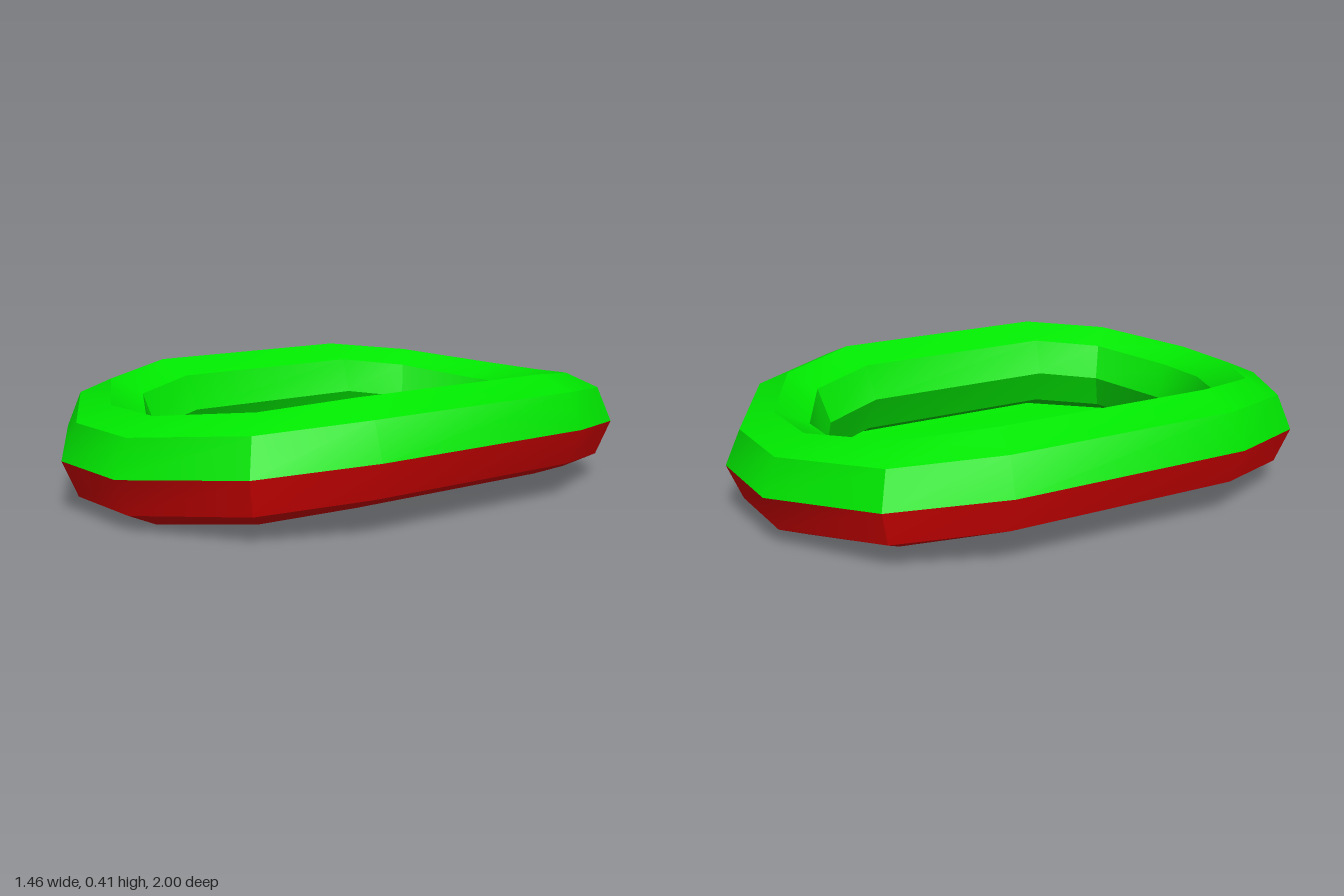
import * as THREE from 'three';
import { toCreasedNormals } from 'three/addons/utils/BufferGeometryUtils.js';

// One quarter of the tube's centre line: x, z, outward reach in x and z, lift of the upturned sides
const QUARTER = [
  [0.13, 0.84, 0.043, 0.16, 0],
  [0.44, 0.67, 0.12, 0.11, 0.035],
  [0.563, 0.39, 0.168, 0.04, 0.067],
];

// Full twelve-sided ring, counter-clockwise from above
const mirror = (pts, sx, sz) => pts.map(([x, z, dx, dz, y]) => [x * sx, z * sz, dx * sx, dz * sz, y]);
const reversed = [...QUARTER].reverse();
const RING = [
  ...QUARTER,
  ...mirror(reversed, 1, -1),
  ...mirror(QUARTER, -1, -1),
  ...mirror(reversed, -1, 1),
];

// Octagonal tube section: outward factor, height
const UPPER = [[1, 0.17], [0.69, 0.29], [0, 0.34], [-0.69, 0.29], [-0.97, 0.17], [-0.69, 0.05], [0, 0]];
const LOWER = [[0, 0], [0.69, 0.05], [1, 0.17]];

function geometryFrom(positions, index) {
  const geo = new THREE.BufferGeometry();
  geo.setAttribute('position', new THREE.Float32BufferAttribute(positions, 3));
  geo.setIndex(index);
  return toCreasedNormals(geo, Math.PI / 6);
}

// Sweep a section around the ring
function tubeShell(profile) {
  const positions = [], index = [], n = RING.length;
  for (const [out, h] of profile) {
    for (const [x, z, dx, dz, y] of RING) positions.push(x + dx * out, h + y, z + dz * out);
  }
  for (let j = 0; j < profile.length - 1; j++) {
    for (let i = 0; i < n; i++) {
      const a = j * n + i, b = j * n + (i + 1) % n;
      index.push(a, b, b + n, a, b + n, a + n);
    }
  }
  return geometryFrom(positions, index);
}

// Gently curved sheet of strips running front to back
function floorSheet(faceUp, size, lift) {
  const front = [...mirror(reversed, -1, 1), ...QUARTER];
  const positions = [], index = [];
  for (const [x, z, , , y] of front) {
    positions.push(x * size, y + lift, z * size, x * size, y + lift, -z * size);
  }
  for (let k = 0; k < front.length - 1; k++) {
    const f0 = 2 * k, b0 = f0 + 1, f1 = f0 + 2, b1 = f0 + 3;
    if (faceUp) index.push(f0, f1, b1, f0, b1, b0);
    else index.push(f0, b1, f1, f0, b0, b1);
  }
  return geometryFrom(positions, index);
}

export function createModel() {
  const green = new THREE.MeshStandardMaterial({ color: 0x00e700, side: THREE.DoubleSide });
  green.name = 'green rubber';
  const red = new THREE.MeshStandardMaterial({ color: 0xe70000, side: THREE.DoubleSide });
  red.name = 'red rubber';

  const group = new THREE.Group();
  group.name = 'inflatableRaft';
  const add = (name, geo, mat) => {
    const mesh = new THREE.Mesh(geo, mat);
    mesh.name = name;
    group.add(mesh);
  };

  add('upperTube', tubeShell(UPPER), green);
  add('lowerTube', tubeShell(LOWER), red);
  // The underside is a touch smaller, leaving a fine green seam around it
  add('floor', floorSheet(true, 1, 0.004), green);
  add('underside', floorSheet(false, 0.995, 0), red);
  return group;
}
